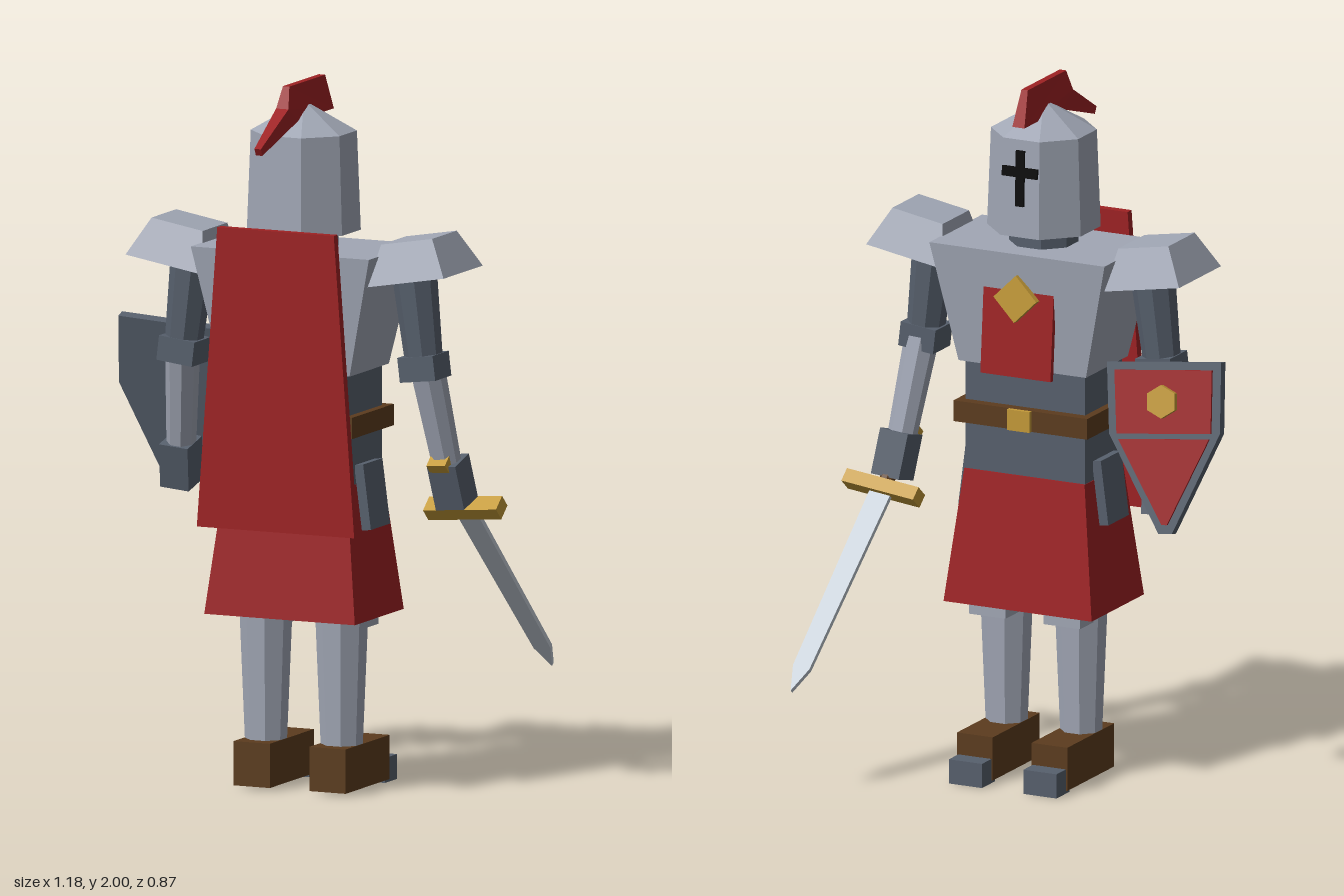
import * as THREE from 'three';

const CX = 0.045, CZ = 0.13; // body axis
const V = (x, y, z) => new THREE.Vector3(x, y, z);

function material(name, color) {
  const m = new THREE.MeshStandardMaterial({ color, flatShading: true });
  m.name = name;
  return m;
}

// Box whose top and bottom have different sizes, standing on y = 0
function frustum(bw, bd, tw, td, h) {
  const g = new THREE.BoxGeometry(1, h, 1).translate(0, h / 2, 0);
  const p = g.attributes.position;
  for (let i = 0; i < p.count; i++) {
    const top = p.getY(i) > h / 2;
    p.setX(i, p.getX(i) * (top ? tw : bw));
    p.setZ(i, p.getZ(i) * (top ? td : bd));
  }
  g.computeVertexNormals();
  return g;
}

// Eight-sided tube with flats facing the axes; radii are given to the flats
function octagon(top, bottom, h) {
  const k = 1 / Math.cos(Math.PI / 8);
  return new THREE.CylinderGeometry(top * k, bottom * k, h, 8, 1, false, Math.PI / 8);
}

function plate(points, depth) {
  const shape = new THREE.Shape(points.map(([x, y]) => new THREE.Vector2(x, y)));
  return new THREE.ExtrudeGeometry(shape, { depth, bevelEnabled: false });
}

export function createModel() {
  const steel = material('steel', 0xa1a7b5);
  const darkSteel = material('dark steel', 0x57606d);
  const red = material('red cloth', 0x9e2123);
  const brown = material('brown leather', 0x5c3c1e);
  const gold = material('gold', 0xc49a38);
  const bladeSteel = material('blade steel', 0xc3ccd5);
  const black = material('black', 0x0a0a0a);

  const model = new THREE.Group();
  model.name = 'knight';

  function add(parent, name, geo, mat, x = 0, y = 0, z = 0) {
    const m = new THREE.Mesh(geo, mat);
    m.name = name;
    m.position.set(x, y, z);
    parent.add(m);
    return m;
  }
  // Place a y-long part between two points, its top at a
  function between(name, geo, mat, a, b) {
    const m = add(model, name, geo, mat);
    m.position.copy(a).add(b).multiplyScalar(0.5);
    m.quaternion.setFromUnitVectors(V(0, 1, 0), a.clone().sub(b).normalize());
    return m;
  }
  const box = (w, h, d) => new THREE.BoxGeometry(w, h, d);

  // Head
  add(model, 'neck', octagon(0.09, 0.09, 0.12), darkSteel, CX, 1.55, CZ);
  add(model, 'helmet', octagon(0.137, 0.147, 0.28), steel, CX, 1.72, CZ);
  add(model, 'helmetCrown', octagon(0, 0.137, 0.085), steel, CX, 1.9025, CZ);
  add(model, 'visorSlit', box(0.026, 0.16, 0.009), black, CX, 1.75, -0.014).rotation.x = 0.036;
  add(model, 'visorBar', box(0.11, 0.028, 0.009), black, CX, 1.768, -0.015).rotation.x = 0.036;

  // Plume, thinned toward its top and tail
  const plume = plate([[-0.025, 1.9], [0.2, 1.9], [0.42, 1.83], [0.43, 1.85],
    [0.27, 1.94], [0.245, 2], [0.013, 2]], 1);
  const pp = plume.attributes.position;
  for (let i = 0; i < pp.count; i++) {
    const z = pp.getX(i), y = pp.getY(i), side = pp.getZ(i) - 0.5;
    const width = y > 1.99 || z > 0.4 ? 0.02 : 0.038;
    pp.setXYZ(i, CX - side * width, y, z);
  }
  plume.computeVertexNormals();
  add(model, 'plume', plume, red);

  // Torso, belt and cloth
  add(model, 'chest', frustum(0.4, 0.255, 0.55, 0.32, 0.34), steel, CX, 1.195, 0.126);
  add(model, 'waist', box(0.375, 0.34, 0.225), darkSteel, CX, 1.035, CZ);
  add(model, 'belt', box(0.42, 0.06, 0.272), brown, CX, 1.05, 0.123);
  add(model, 'buckle', box(0.07, 0.06, 0.016), gold, CX, 1.05, -0.018);
  add(model, 'skirt', frustum(0.465, 0.318, 0.378, 0.235, 0.38), red, CX, 0.5, 0.129);
  add(model, 'chestPanel', box(0.22, 0.33, 0.016), red, CX, 1.345, -0.022).rotation.x = 0.08;
  const emblem = add(model, 'chestDiamond', box(0.095, 0.095, 0.02), gold, CX, 1.407, -0.037);
  emblem.rotation.set(0.08, 0, Math.PI / 4);
  add(model, 'cape', frustum(0.486, 0.024, 0.36, 0.024, 0.85), red, CX, 0.75, 0.302);

  // Mirrored parts
  for (const s of [1, -1]) {
    const X = (x) => CX + s * (x - CX);
    const side = s > 0 ? 'left' : 'right';

    add(model, side + 'Pauldron', frustum(0.24, 0.255, 0.16, 0.16, 0.11), steel,
      X(0.418), 1.472, 0.128).rotation.z = s * 0.17;
    between(side + 'UpperArm', octagon(0.06, 0.048, 0.32), darkSteel,
      V(X(0.382), 1.52, CZ), V(X(0.42), 1.2, CZ));
    add(model, side + 'Elbow', box(0.11, 0.07, 0.105), darkSteel,
      X(0.417), 1.217, CZ).rotation.z = s * 0.12;
    between(side + 'Forearm', octagon(0.046, 0.038, 0.33), steel,
      V(X(0.42), 1.24, 0.128), V(X(0.457), 0.92, 0.06));
    between(side + 'Hand', box(0.088, 0.13, 0.095), darkSteel,
      V(X(0.458), 0.945, 0.063), V(X(0.47), 0.82, 0.03));

    add(model, side + 'HipPlate', box(0.028, 0.185, 0.125), darkSteel,
      X(0.255), 0.845, 0.128).rotation.z = s * 0.13;

    const lx = CX + s * 0.117;
    add(model, side + 'Leg', octagon(0.07, 0.054, 0.42), steel, lx, 0.33, CZ);
    add(model, side + 'Knee', box(0.115, 0.08, 0.09), steel, lx, 0.5, 0.058);
    add(model, side + 'Boot', box(0.112, 0.125, 0.285), brown, lx, 0.0725, 0.08);
    add(model, side + 'ToeCap', box(0.104, 0.07, 0.08), darkSteel, lx, 0.037, -0.08);
  }

  // Sword, pointing along its own +y from the guard
  const sword = new THREE.Group();
  sword.name = 'sword';
  const sy = V(0.075, -0.5, -0.415).normalize();
  const sx = V(1, 0.09, 0.0723).normalize();
  sword.quaternion.setFromRotationMatrix(
    new THREE.Matrix4().makeBasis(sx, sy, sx.clone().cross(sy)));
  sword.position.set(0.472, 0.8, -0.02);
  model.add(sword);
  add(sword, 'blade', plate([[-0.034, 0], [0.034, 0], [0.027, 0.575], [0, 0.65],
    [-0.027, 0.575]], 0.014).translate(0, 0, -0.007), bladeSteel);
  add(sword, 'guard', box(0.235, 0.04, 0.052), gold);
  add(sword, 'grip', octagon(0.02, 0.02, 0.18), brown, 0, -0.09, 0);
  add(sword, 'pommel', box(0.06, 0.03, 0.045), gold, 0, -0.185, 0);

  // Shield, its face along its own +z and top edge at y = 0
  const shield = new THREE.Group();
  shield.name = 'shield';
  const hy = V(0.055, 0.47, 0.1).normalize();
  const hx = V(-0.335, 0.055, 0.05);
  hx.addScaledVector(hy, -hx.dot(hy)).normalize();
  shield.quaternion.setFromRotationMatrix(
    new THREE.Matrix4().makeBasis(hx, hy, hx.clone().cross(hy)));
  shield.position.set(-0.4, 1.27, 0.012);
  model.add(shield);
  add(shield, 'shieldBody', plate([[-0.17, 0], [-0.165, -0.2], [-0.02, -0.48],
    [0.02, -0.48], [0.165, -0.2], [0.17, 0]], 0.034).translate(0, 0, -0.017), darkSteel);
  add(shield, 'upperPanel', plate([[-0.145, -0.022], [-0.14, -0.2], [0.14, -0.2],
    [0.145, -0.022]], 0.009), red, 0, 0, 0.0165);
  add(shield, 'lowerPanel', plate([[-0.135, -0.215], [-0.008, -0.455], [0.008, -0.455],
    [0.135, -0.215]], 0.009), red, 0, 0, 0.0165);
  add(shield, 'shieldBoss', new THREE.CylinderGeometry(0.047, 0.047, 0.03, 6).rotateX(Math.PI / 2),
    gold, 0, -0.11, 0.03);

  return model;
}
